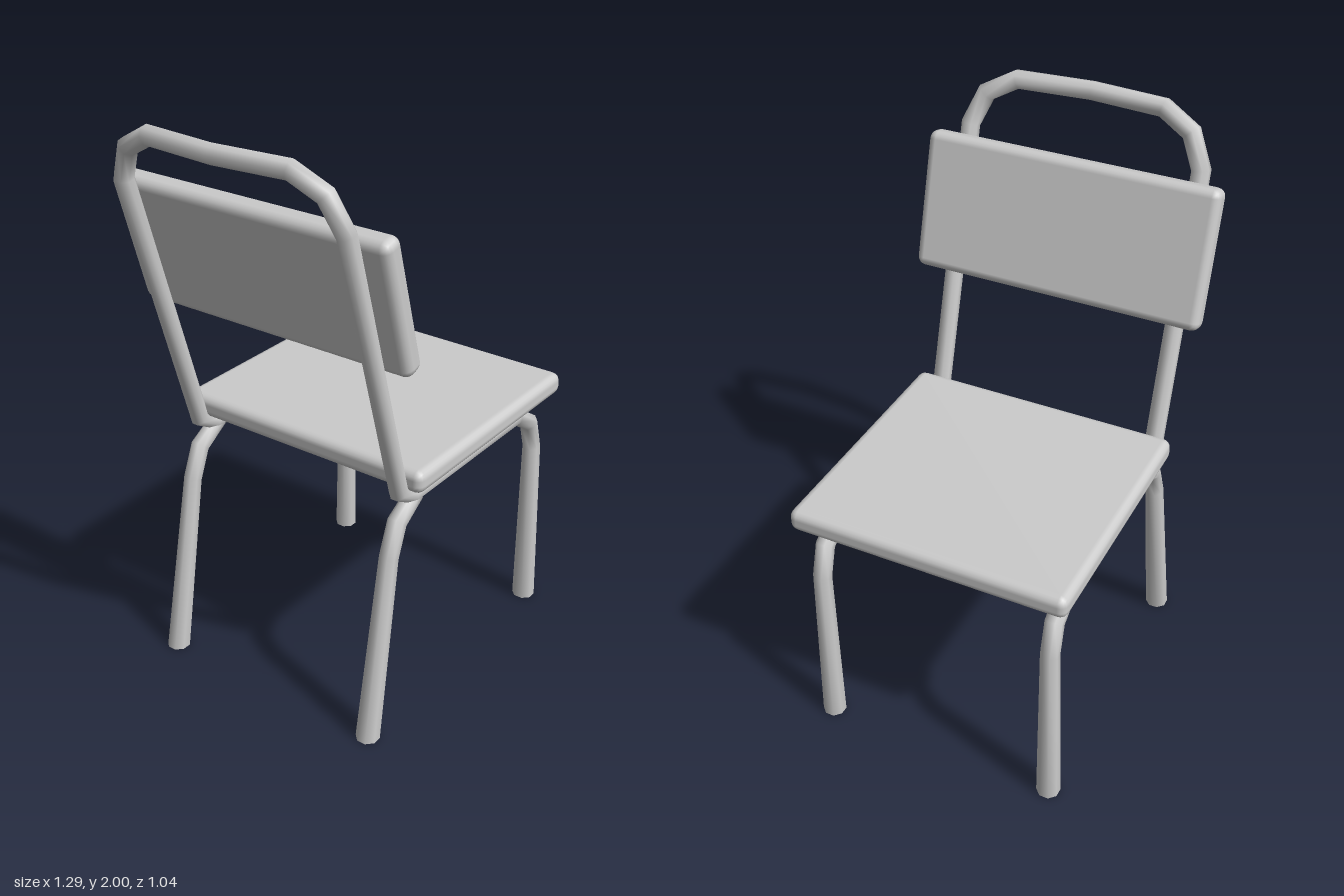
import * as THREE from 'three';
import { RoundedBoxGeometry } from 'three/addons/geometries/RoundedBoxGeometry.js';

const SIDES = 8;
const material = new THREE.MeshStandardMaterial({ color: 0xcccccc });

// Mitred tube through points [x, y, z, radius]; both ends are capped.
// The offsets of each ring slide along the segment onto the next joint plane.
function bentTube(path, startNormal, endNormal) {
  const pts = path.map(p => new THREE.Vector3(p[0], p[1], p[2]));
  const last = pts.length - 1;
  const dirs = pts.slice(1).map((p, i) => p.clone().sub(pts[i]).normalize());
  const u = new THREE.Vector3(0, 0, 1).cross(dirs[0]).normalize();
  const v = dirs[0].clone().cross(u);
  let ring = [];
  for (let j = 0; j < SIDES; j++) {
    const a = ((j + 0.5) / SIDES) * Math.PI * 2;
    ring.push(u.clone().multiplyScalar(Math.cos(a)).addScaledVector(v, Math.sin(a)).multiplyScalar(path[0][3]));
  }
  const pos = [], index = [];
  pts.forEach((p, i) => {
    const d = dirs[Math.max(i - 1, 0)];
    const n = i === 0 ? startNormal ?? d : i === last ? endNormal ?? d : d.clone().add(dirs[i]).normalize();
    const scale = i ? path[i][3] / path[i - 1][3] : 1;
    ring = ring.map(o => o.clone().addScaledVector(d, -o.dot(n) / d.dot(n)).multiplyScalar(scale));
    ring.forEach(o => pos.push(p.x + o.x, p.y + o.y, p.z + o.z));
  });
  for (let i = 0; i < last; i++) {
    for (let j = 0; j < SIDES; j++) {
      const a = i * SIDES + j, b = i * SIDES + (j + 1) % SIDES;
      index.push(a, b, a + SIDES, b, b + SIDES, a + SIDES);
    }
  }
  // End caps with their own corners, so the rims stay sharp
  for (const end of [0, last]) {
    const base = pos.length / 3;
    pos.push(...pos.slice(end * SIDES * 3, (end + 1) * SIDES * 3));
    for (let j = 1; j < SIDES - 1; j++) {
      if (end === 0) index.push(base, base + j + 1, base + j);
      else index.push(base, base + j, base + j + 1);
    }
  }
  const g = new THREE.BufferGeometry();
  g.setAttribute('position', new THREE.Float32BufferAttribute(pos, 3));
  g.setIndex(index);
  g.computeVertexNormals();
  return g;
}

export function createModel() {
  const chair = new THREE.Group();
  chair.name = 'chair';
  const add = (name, geometry) => {
    const mesh = new THREE.Mesh(geometry, material);
    mesh.name = name;
    chair.add(mesh);
    return mesh;
  };

  // Padded seat
  add('seat', new RoundedBoxGeometry(0.9, 0.08, 0.976, 2, 0.03)).position.set(0.19, 0.9, 0);

  // Backrest, leaning back along the uprights
  const backrest = add('backrest', new RoundedBoxGeometry(0.08, 0.475, 1.044, 2, 0.03));
  backrest.position.set(-0.41, 1.56, 0);
  backrest.rotation.z = 0.28;

  // One tube: front leg, seat rail, upright and half the hoop, then mirrored
  const half = [
    [0.585, 0, 0.422, 0.041],
    [0.582, 0.645, 0.416, 0.032],
    [0.55, 0.755, 0.415, 0.032],
    [0.448, 0.822, 0.415, 0.032],
    [-0.2, 0.824, 0.415, 0.032],
    [-0.272, 0.865, 0.415, 0.032],
    [-0.547, 1.8, 0.415, 0.032],
    [-0.572, 1.91, 0.365, 0.032],
    [-0.592, 1.967, 0.26, 0.032],
  ];
  const mirrored = half.map(([x, y, z, r]) => [x, y, -z, r]).reverse();
  const up = new THREE.Vector3(0, 1, 0);
  add('frame', bentTube([...half, [-0.615, 1.967, 0, 0.032], ...mirrored], up, up));

  // Splayed rear legs, curving forward into the seat rails
  for (const side of [1, -1]) {
    add(side > 0 ? 'rearLegLeft' : 'rearLegRight', bentTube([
      [-0.436, 0, side * 0.422, 0.041],
      [-0.322, 0.645, side * 0.416, 0.032],
      [-0.278, 0.755, side * 0.415, 0.032],
      [-0.18, 0.815, side * 0.415, 0.03],
    ], up));
  }
  return chair;
}
